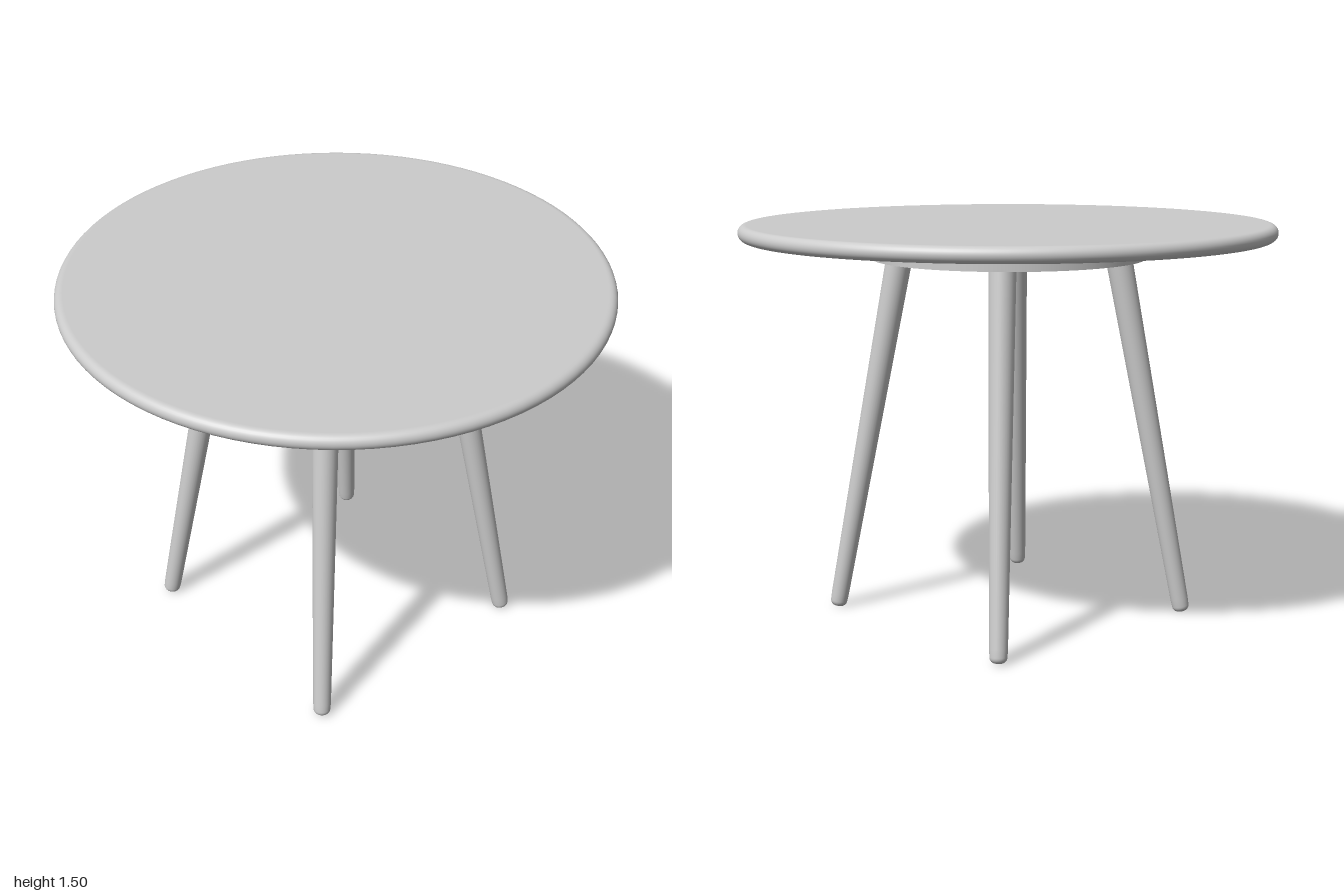
import * as THREE from 'three';

const material = new THREE.MeshStandardMaterial({ color: 0xcccccc });

// Quarter or half round: points on an arc, angles in units of PI
function arc(cx, cy, r, from, to, steps) {
  return Array.from({ length: steps + 1 }, (_, i) => {
    const a = Math.PI * (from + (to - from) * i / steps);
    return new THREE.Vector2(cx + r * Math.cos(a), cy + r * Math.sin(a));
  });
}

function addMesh(parent, name, geometry) {
  const mesh = new THREE.Mesh(geometry, material);
  mesh.name = name;
  parent.add(mesh);
  return mesh;
}

export function createModel() {
  const table = new THREE.Group();
  table.name = 'roundTable';

  // Round top with a soft, fully rounded rim
  const bottom = 1.445, top = 1.503, r = (top - bottom) / 2;
  const flat = 1 - r;
  const topProfile = [
    new THREE.Vector2(0, bottom),
    new THREE.Vector2(flat - 0.004, bottom),
    ...arc(flat, bottom + r, r, -0.5, 0.5, 14),
    new THREE.Vector2(flat - 0.004, top),
    new THREE.Vector2(0, top),
  ];
  addMesh(table, 'tableTop', new THREE.LatheGeometry(topProfile, 96));

  // Disc under the top and the legs fixed to it
  const base = new THREE.Group();
  base.name = 'base';
  base.position.set(-0.005, 0, 0.001);
  table.add(base);

  const disc = addMesh(base, 'mountingDisc', new THREE.CylinderGeometry(0.512, 0.512, 0.077, 96));
  disc.position.y = 1.4085;

  // Four splayed legs, tapering to rounded feet
  const up = new THREE.Vector3(0, 1, 0);
  for (const [sx, sz, name] of [
    [1, 1, 'frontLeftLeg'], [-1, 1, 'frontRightLeg'],
    [1, -1, 'backLeftLeg'], [-1, -1, 'backRightLeg'],
  ]) {
    const foot = new THREE.Vector3(sx * 0.473, 0.005, sz * 0.473);
    const head = new THREE.Vector3(sx * 0.288, 1.395, sz * 0.288);
    const axis = head.clone().sub(foot);
    const profile = [
      new THREE.Vector2(0, 0),
      ...arc(0.01, 0.022, 0.022, -0.5, 0, 6),
      new THREE.Vector2(0.0335, 0.05),
      new THREE.Vector2(0.05, axis.length()),
    ];
    const leg = addMesh(base, name, new THREE.LatheGeometry(profile, 32));
    leg.position.copy(foot);
    leg.quaternion.setFromUnitVectors(up, axis.normalize());
  }

  return table;
}
